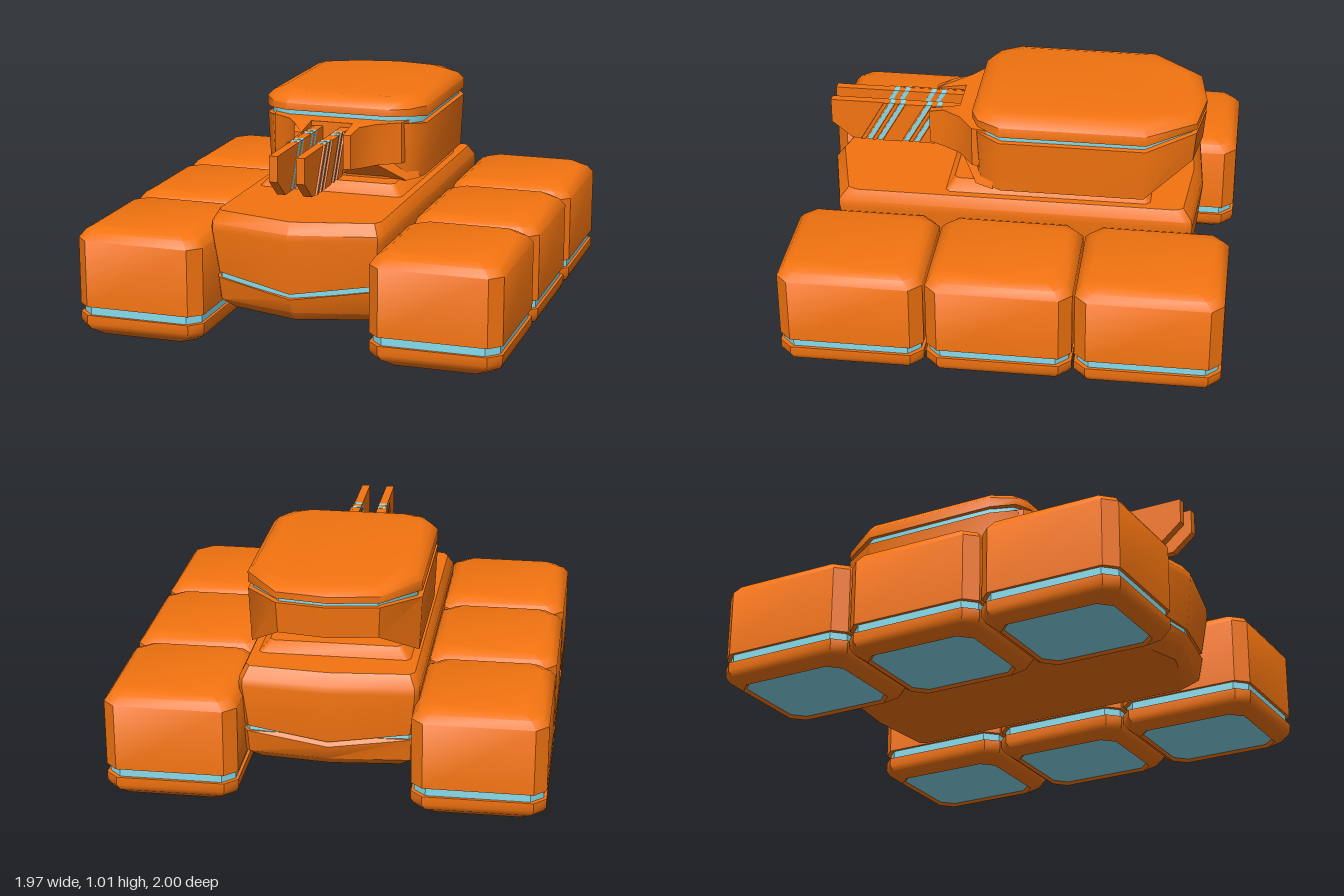
import * as THREE from 'three';
import { toCreasedNormals } from 'three/addons/utils/BufferGeometryUtils.js';

const orange = new THREE.MeshStandardMaterial({ color: 0xf47410 });
const cyan = new THREE.MeshStandardMaterial({ color: 0x86dcee });

function add(parent, name, geometry, material = orange) {
  const mesh = new THREE.Mesh(geometry, material);
  mesh.name = name;
  parent.add(mesh);
  return mesh;
}

// Mirror a half outline, given as [x, y, z] from front to back on the +x side
function mirror(half) {
  const other = half.filter(p => p[0] > 0).reverse().map(([x, y, z]) => [-x, y, z]);
  return [...half, ...other];
}

// Skin closed rings from bottom to top and cap both ends
function loft(rings, crease = 0.65) {
  const n = rings[0].length;
  const index = [];
  for (let r = 0; r < rings.length - 1; r++) {
    for (let i = 0; i < n; i++) {
      const j = (i + 1) % n, a = r * n, b = a + n;
      index.push(a + i, a + j, b + j, a + i, b + j, b + i);
    }
  }
  const cap = (ring, start, up) => {
    const flat = ring.map(([x, , z]) => new THREE.Vector2(x, -z));
    for (const [a, b, c] of THREE.ShapeUtils.triangulateShape(flat, [])) {
      index.push(start + a, start + (up ? b : c), start + (up ? c : b));
    }
  };
  cap(rings[0], 0, false);
  cap(rings[rings.length - 1], (rings.length - 1) * n, true);
  const g = new THREE.BufferGeometry();
  g.setAttribute('position', new THREE.Float32BufferAttribute(rings.flat(2), 3));
  g.setIndex(index);
  return toCreasedNormals(g, crease);
}

// Rectangle with cut corners
const cutRect = (y, w, d, c) => mirror([[w - c, y, d], [w, y, d - c], [w, y, c - d], [w - c, y, -d]]);

// Hover pod: body, glowing seam, skirt and glowing underside
function makePod() {
  const pod = new THREE.Group();
  const ring = (y, inset) => cutRect(y, 0.3 - inset, 0.33 - inset, 0.055);
  add(pod, 'podBody', loft([ring(0.14, 0), ring(0.45, 0), ring(0.485, 0.025), ring(0.505, 0.06)]));
  add(pod, 'podSeam', loft([ring(0.08, 0.014), ring(0.16, 0.014)]), cyan);
  add(pod, 'podSkirt', loft([
    ring(0.02, 0.075), ring(0, 0.06), ring(0.035, 0.012), ring(0.06, 0), ring(0.1, 0)]));
  add(pod, 'podUnderside', loft([ring(0.014, 0.07), ring(0.03, 0.07)]), cyan);
  return pod;
}

// Hull outline with pointed nose and tail; dip lowers the points
const hullRing = (y, w, front, back, dip = 0) => mirror([
  [0, y - dip, front], [w - 0.02, y, front - 0.09], [w, y, front - 0.13],
  [w, y, 0.06 - back], [w - 0.02, y, 0.03 - back], [0, y - dip, -back]]);

function makeHull() {
  const hull = new THREE.Group();
  add(hull, 'hullLower', loft([
    hullRing(0.12, 0.335, 0.82, 0.76), hullRing(0.165, 0.385, 0.865, 0.81),
    hullRing(0.275, 0.39, 0.885, 0.83, 0.045)]));
  add(hull, 'hullSeam', loft([
    hullRing(0.265, 0.38, 0.872, 0.817, 0.045), hullRing(0.31, 0.38, 0.872, 0.817, 0.045)]), cyan);
  add(hull, 'hullUpper', loft([
    hullRing(0.3, 0.385, 0.885, 0.83, 0.045), hullRing(0.5, 0.407, 0.912, 0.855),
    hullRing(0.535, 0.405, 0.91, 0.85), hullRing(0.585, 0.38, 0.87, 0.81)]));
  const base = add(hull, 'turretRing', loft([cutRect(0.58, 0.35, 0.48, 0.02), cutRect(0.635, 0.3, 0.44, 0.02)]));
  base.position.z = -0.15;
  return hull;
}

// Turret outline; inset shrinks it, front and rear heights may differ from the sides
const turretRing = (y, inset, yFront = y, yRear = y) => mirror([
  [0.25 - inset * 0.4, yFront, 0.21 - inset], [0.33 - inset * 0.7, yFront, 0.175 - inset],
  [0.393 - inset, y, 0.07 - inset * 0.5], [0.393 - inset, y, -0.6 + inset * 0.4],
  [0.23 - inset * 0.5, yRear, -0.82 + inset], [0, yRear, -0.855 + inset]]);

function makeTurret() {
  const turret = new THREE.Group();
  // Underside rises behind the turret ring
  add(turret, 'turretBody', loft([
    turretRing(0.63, 0.012, 0.63, 0.765), turretRing(0.885, 0, 0.9, 0.91)]));
  add(turret, 'turretSeam', loft([
    turretRing(0.87, 0.022, 0.88, 0.89), turretRing(0.945, 0.022, 0.945, 0.955)]), cyan);
  add(turret, 'turretLid', loft([
    turretRing(0.917, 0, 0.932, 0.93), turretRing(0.965, 0, 0.965, 0.96),
    turretRing(0.995, 0.028, 0.995, 0.982), turretRing(1.012, 0.075, 1.012, 0.992)], 0.8));

  // Flared neck with a slot for the barrels
  const neckRing = (y, yTip) => mirror([
    [0.1, y, 0.29], [0.1, yTip, 0.43], [0.135, yTip, 0.43], [0.155, y, 0.36],
    [0.21, y, 0.275], [0.31, y, 0.205], [0.33, y, 0.12]]);
  add(turret, 'gunNeck', loft([neckRing(0.715, 0.725), neckRing(0.908, 0.885)]));
  // Ramp under the neck
  add(turret, 'neckRamp', loft([
    mirror([[0.33, 0.63, 0.185], [0.375, 0.63, 0.1]]),
    mirror([[0.2, 0.722, 0.27], [0.33, 0.722, 0.1]])]));
  return turret;
}

// Upright slab cut from a [z, y] profile, with its middle at x
function slab(points, x, thickness) {
  const shape = new THREE.Shape(points.map(([z, y]) => new THREE.Vector2(-z, y)));
  const g = new THREE.ExtrudeGeometry(shape, { depth: thickness, bevelEnabled: false });
  return g.translate(0, 0, -thickness / 2).rotateY(Math.PI / 2).translate(x, 0, 0);
}

// Slanted band on a barrel, placed by the z of its top edge
const band = (z, w) => [[z, 0.888], [z + w, 0.888], [z + w + 0.115, 0.688], [z + 0.115, 0.688]];

function makeBarrel(side) {
  const barrel = new THREE.Group();
  add(barrel, 'barrelPlate', slab(
    [[0.25, 0.887], [0.908, 0.887], [0.908, 0.77], [0.81, 0.689], [0.25, 0.689]], side * 0.062, 0.04));
  for (const z of [0.38, 0.43, 0.555, 0.605]) {
    add(barrel, 'glowBand', slab(band(z, 0.022), side * 0.063, 0.044), cyan);
  }
  for (const [z, w] of [[0.3, 0.075], [0.407, 0.018], [0.46, 0.09], [0.582, 0.018], [0.635, 0.02]]) {
    add(barrel, 'barrelPanel', slab(band(z, w), side * 0.085, 0.012));
  }
  return barrel;
}

export function createModel() {
  const model = new THREE.Group();
  model.name = 'hoverTank';
  const hull = makeHull();
  hull.name = 'hull';
  const turret = makeTurret();
  turret.name = 'turret';
  model.add(hull, turret);
  for (const side of [-1, 1]) {
    const barrel = makeBarrel(side);
    barrel.name = side > 0 ? 'leftBarrel' : 'rightBarrel';
    turret.add(barrel);
    for (const [i, row] of ['rear', 'middle', 'front'].entries()) {
      const pod = makePod();
      pod.name = row + (side > 0 ? 'LeftPod' : 'RightPod');
      pod.position.set(side * 0.687, 0, (i - 1) * 0.67);
      model.add(pod);
    }
  }
  return model;
}
